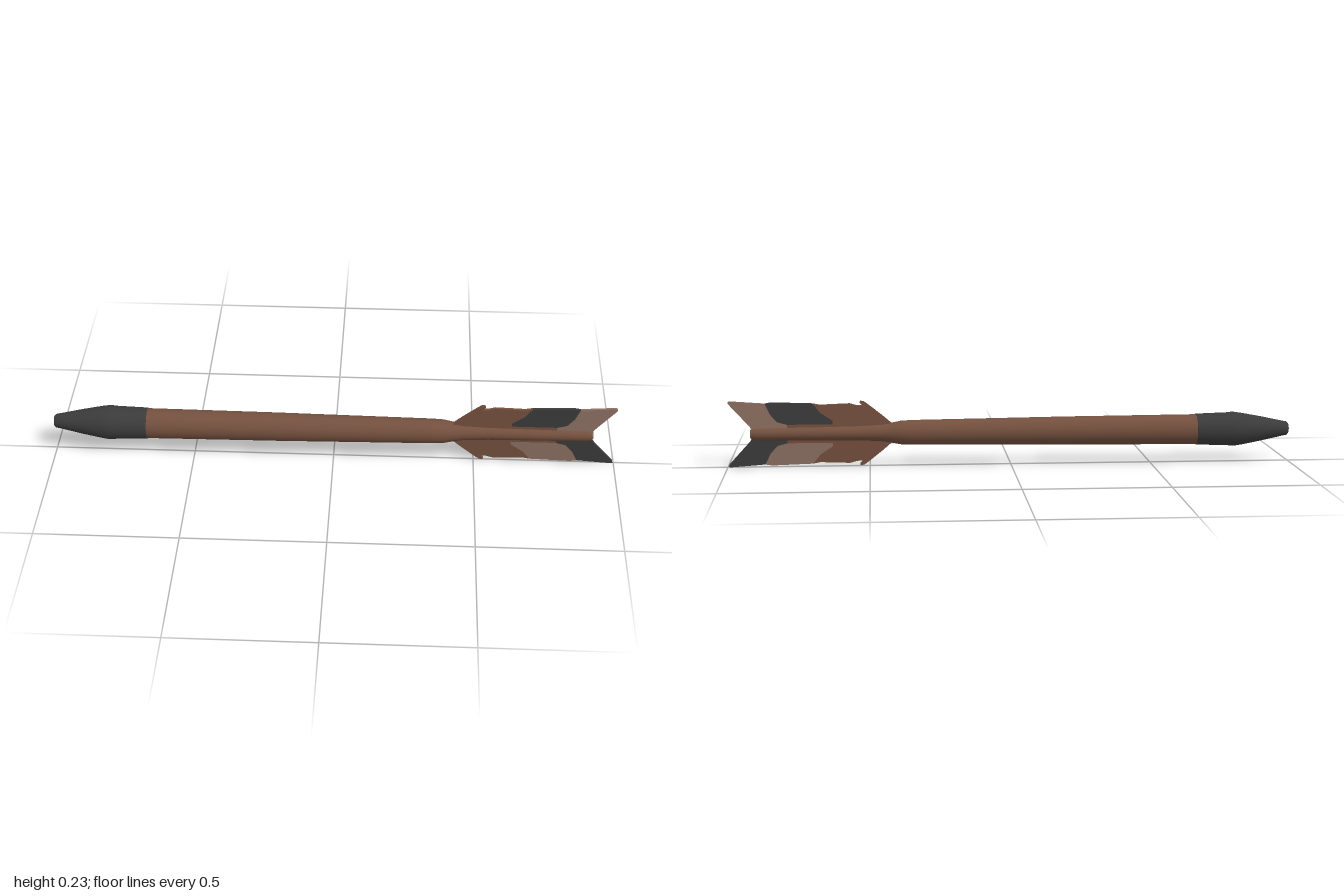
import * as THREE from 'three';

const AXIS = 0.119;

export function createModel() {
  const model = new THREE.Group();
  const mat = (name, color) => {
    const m = new THREE.MeshStandardMaterial({ color });
    m.name = name;
    return m;
  };
  const brown = mat('brown', 0x74503e);
  const dark = mat('charcoal', 0x3a3b3a);
  const tan = mat('tan', 0x8c6f61);

  const add = (name, geometry, material, parent = model) => {
    const mesh = new THREE.Mesh(geometry, material);
    mesh.name = name;
    parent.add(mesh);
  };

  // Round parts: profile of [x, radius] turned about the long axis
  const turned = (name, profile, material) => {
    const g = new THREE.LatheGeometry(profile.map(([x, r]) => new THREE.Vector2(r, x)), 32);
    g.rotateZ(-Math.PI / 2).translate(0, AXIS, 0);
    add(name, g, material);
  };
  turned('tipCap', [[-1, 0], [-1, 0.018]], dark);
  turned('tip', [[-1, 0.018], [-0.995, 0.024], [-0.97, 0.029], [-0.9, 0.044], [-0.83, 0.057],
    [-0.8, 0.0615], [-0.775, 0.059], [-0.665, 0.0555]], dark);
  turned('tipCollar', [[-0.665, 0.0555], [-0.665, 0.052]], dark);
  turned('shaft', [[-0.67, 0.0535], [-0.2, 0.0505], [0.35, 0.044]], brown);
  turned('shaftNeck', [[0.35, 0.044], [0.39, 0.042], [0.42, 0.036], [0.46, 0.03], [0.55, 0.026],
    [0.9, 0.022], [0.915, 0.019]], brown);
  turned('nock', [[0.915, 0.019], [0.92, 0.014], [0.915, 0]], tan);

  // Vane panels: outlines of [x, distance from the axis]
  const panels = {
    front: [[0.42, 0.02], [0.42, 0.032], [0.455, 0.062], [0.5, 0.098], [0.52, 0.113], [0.533, 0.115],
      [0.535, 0.109], [0.525, 0.098], [0.545, 0.099], [0.57, 0.106], [0.675, 0.102], [0.7, 0.107],
      [0.675, 0.075], [0.63, 0.045], [0.63, 0.033], [0.63, 0.015]],
    root: [[0.63, 0.015], [0.63, 0.033], [0.79, 0.033], [0.79, 0.015]],
    middle: [[0.63, 0.033], [0.63, 0.045], [0.675, 0.075], [0.7, 0.107], [0.845, 0.112],
      [0.868, 0.108], [0.85, 0.07], [0.825, 0.042], [0.79, 0.033]],
    rear: [[0.79, 0.015], [0.79, 0.033], [0.825, 0.042], [0.85, 0.07], [0.868, 0.108],
      [0.99, 0.117], [0.997, 0.115], [0.995, 0.108], [0.92, 0.026], [0.915, 0.015]],
  };
  const panelGeometry = (outline) => {
    const shape = new THREE.Shape(outline.map(([x, d]) => new THREE.Vector2(x, d)));
    const g = new THREE.ExtrudeGeometry(shape, { depth: 0.016, bevelEnabled: false });
    g.translate(0, 0, -0.008);
    // Thin the vane towards its outer edge
    const p = g.attributes.position;
    for (let i = 0; i < p.count; i++) p.setZ(i, p.getZ(i) * (1 - 3.5 * p.getY(i)));
    g.computeVertexNormals();
    return g;
  };

  const vane = (name, turn, colors) => {
    const group = new THREE.Group();
    group.name = name;
    group.position.y = AXIS;
    group.rotation.x = turn;
    for (const [part, outline] of Object.entries(panels)) {
      add(part + 'Panel', panelGeometry(outline), colors[part], group);
    }
    model.add(group);
  };
  vane('upperVane', 0, { front: brown, root: brown, middle: dark, rear: tan });
  vane('lowerVane', Math.PI, { front: brown, root: brown, middle: tan, rear: dark });

  return model;
}
